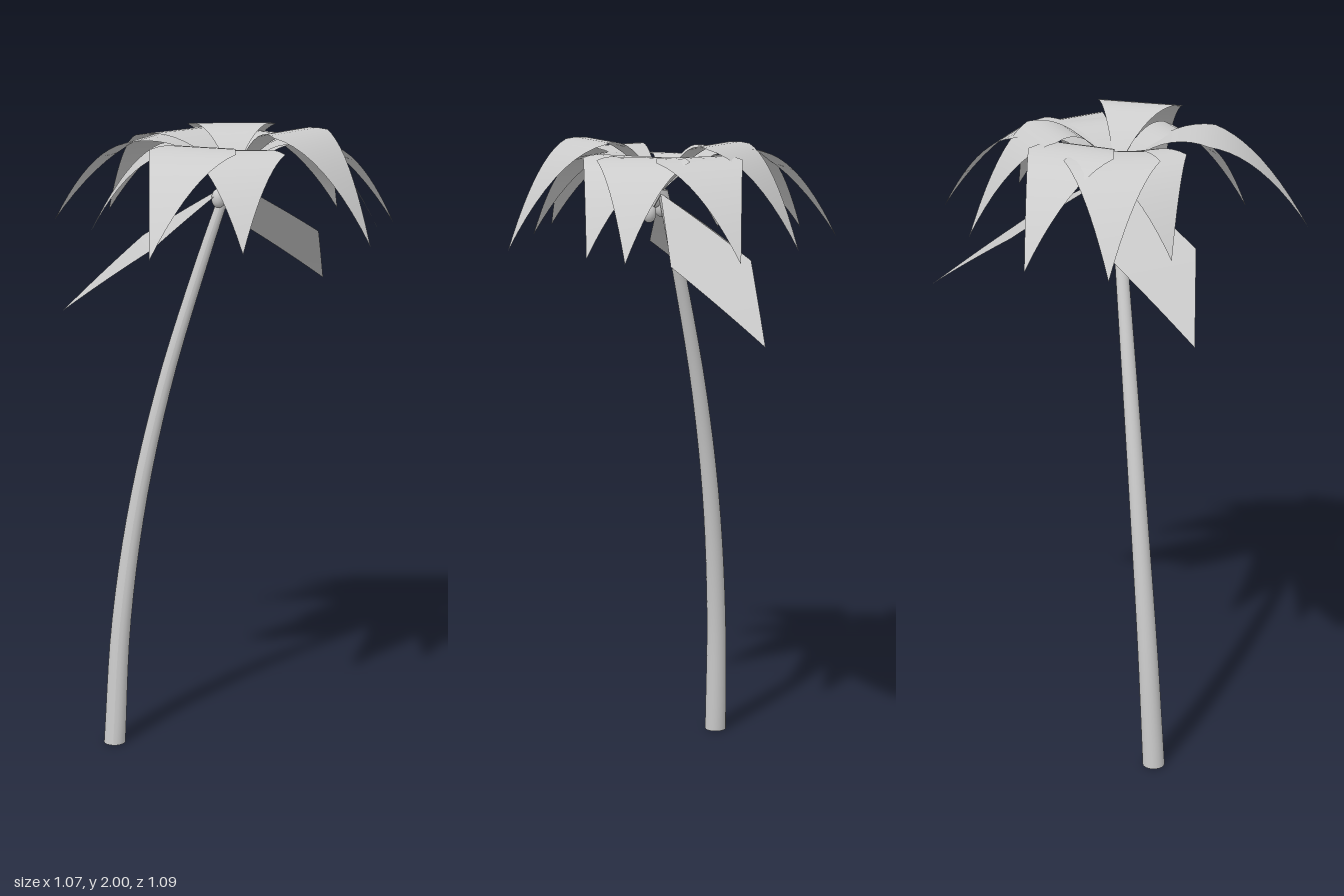
import * as THREE from 'three';

const CROWN = new THREE.Vector3(0.045, 1.83, -0.01);
const HALF_WIDTH = 0.14;

// Leaves: tip x, tip z, height at the widest point, height at the tip
const LEAVES = [
  [-0.01, -0.47, 1.98, 1.68],
  [0.34, -0.49, 1.95, 1.68],
  [0.53, -0.22, 1.95, 1.68],
  [0.49, -0.055, 1.95, 1.68],
  [0.477, 0.243, 1.994, 1.68],
  [0.117, 0.424, 1.94, 1.68],
  [-0.14, 0.547, 1.955, 1.68],
  [-0.385, 0.06, 1.93, 1.68],
  [-0.535, -0.16, 1.95, 1.68],
  [-0.395, -0.375, 1.96, 1.68],
  // Two nearly straight, hanging leaves
  [0.293, -0.545, 1.648, 1.44],
  [-0.47, 0.11, 1.648, 1.44],
];

// Kite-shaped blade that arches from the crown out to its tip
function leafGeometry(tipX, tipZ, midY, tipY) {
  const geo = new THREE.PlaneGeometry(2, 1, 2, 20);
  const pos = geo.attributes.position;
  const dx = tipX - CROWN.x, dz = tipZ - CROWN.z;
  const length = Math.hypot(dx, dz);
  // Parabola through root, middle and tip heights
  const rise = 4 * (midY - CROWN.y) - (tipY - CROWN.y);
  const sag = tipY - CROWN.y - rise;
  for (let i = 0; i < pos.count; i++) {
    const t = pos.getY(i) + 0.5;
    const w = pos.getX(i) * HALF_WIDTH * (1 - Math.abs(2 * t - 1)) / length;
    pos.setXYZ(i,
      CROWN.x + dx * t - dz * w,
      CROWN.y + rise * t + sag * t * t,
      CROWN.z + dz * t + dx * w);
  }
  geo.computeVertexNormals();
  return geo;
}

// Tapered cylinder whose rings follow a leaning curve
function trunkGeometry() {
  const height = 1.84;
  const path = new THREE.CatmullRomCurve3([
    [-0.335, 0, 0.027], [-0.312, 0.4, 0.011], [-0.257, 0.8, -0.003],
    [-0.167, 1.2, -0.011], [-0.045, 1.6, -0.013], [0.036, height, -0.012],
  ].map(p => new THREE.Vector3(...p)));
  const rows = 24;
  const geo = new THREE.CylinderGeometry(0.016, 0.035, height, 20, rows);
  geo.translate(0, height / 2, 0);
  const pos = geo.attributes.position;
  for (let i = 0; i < pos.count; i++) {
    const c = path.getPoint(Math.min(1, Math.max(0, pos.getY(i) / height)));
    pos.setXYZ(i, pos.getX(i) + c.x, c.y, pos.getZ(i) + c.z);
  }
  geo.computeVertexNormals();
  return geo;
}

export function createModel() {
  const model = new THREE.Group();
  model.name = 'palmTree';
  const solid = new THREE.MeshStandardMaterial({ color: 0xcccccc });
  const thin = new THREE.MeshStandardMaterial({ color: 0xcccccc, side: THREE.DoubleSide });

  const add = (parent, name, geo, mat) => {
    const mesh = new THREE.Mesh(geo, mat);
    mesh.name = name;
    parent.add(mesh);
    return mesh;
  };

  add(model, 'trunk', trunkGeometry(), solid);

  const crown = new THREE.Group();
  crown.name = 'leaves';
  LEAVES.forEach((leaf, i) => add(crown, `leaf${i + 1}`, leafGeometry(...leaf), thin));
  model.add(crown);

  // Coconuts hanging on short stalks under the crown
  const fruit = new THREE.Group();
  fruit.name = 'coconuts';
  const nut = new THREE.SphereGeometry(0.022, 16, 12);
  [[0.003, 1.782, 0.016], [0.053, 1.768, 0.026], [0.03, 1.812, 0.022]].forEach((p, i) => {
    const mesh = add(fruit, `coconut${i + 1}`, nut, solid);
    mesh.position.set(...p);
    mesh.scale.y = 1.35;
    const stalk = new THREE.LineCurve3(new THREE.Vector3(...p), CROWN);
    add(fruit, `stalk${i + 1}`, new THREE.TubeGeometry(stalk, 1, 0.004, 6), solid);
  });
  model.add(fruit);

  return model;
}
